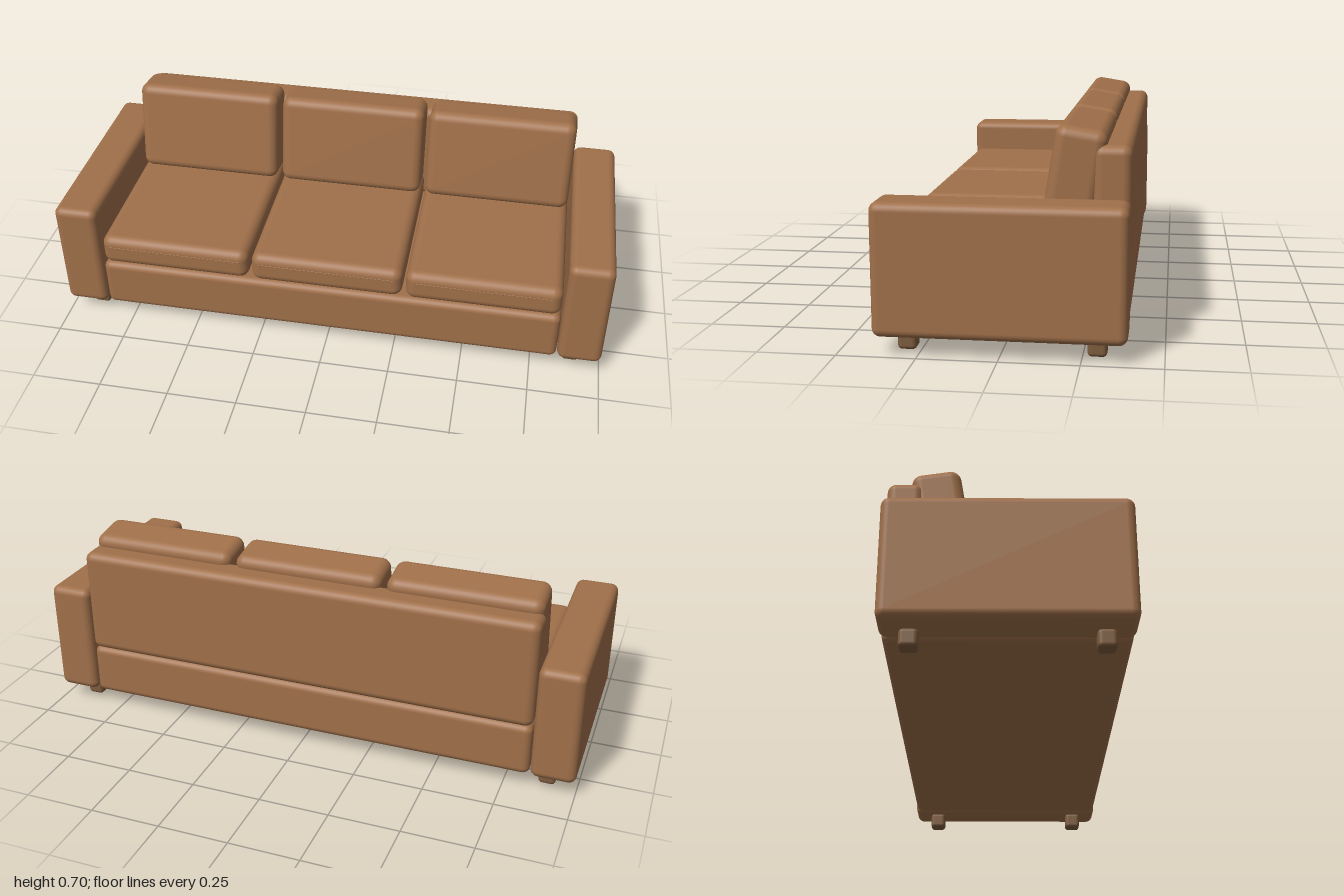
import * as THREE from 'three';
import { RoundedBoxGeometry } from 'three/addons/geometries/RoundedBoxGeometry.js';

export function createModel() {
  const sofa = new THREE.Group();
  sofa.name = 'sofa';
  const leather = new THREE.MeshStandardMaterial({ color: 0xa0704a });
  const wood = new THREE.MeshStandardMaterial({ color: 0x7d5c3e });

  // Soft-edged box given by its size and centre
  function block(name, [w, h, d], [x, y, z], radius, material = leather) {
    const mesh = new THREE.Mesh(new RoundedBoxGeometry(w, h, d, 5, radius), material);
    mesh.name = name;
    mesh.position.set(x, y, z);
    sofa.add(mesh);
    return mesh;
  }

  // Frame: base and back panel
  block('base', [1.68, 0.19, 0.77], [0, 0.155, 0], 0.025);
  block('backPanel', [1.68, 0.39, 0.12], [0, 0.442, -0.33], 0.03);

  // Arms, each with a front and a back foot
  for (const side of [-1, 1]) {
    const label = side > 0 ? 'left' : 'right';
    block(label + 'Arm', [0.157, 0.42, 0.78], [side * 0.9215, 0.268, 0], 0.028);
    for (const end of [-1, 1]) {
      block(label + (end > 0 ? 'Front' : 'Back') + 'Foot',
        [0.06, 0.062, 0.06], [side * 0.895, 0.031, end * 0.295], 0.014, wood);
    }
  }

  // Three seat cushions with reclined back cushions
  ['right', 'middle', 'left'].forEach((label, i) => {
    const x = (i - 1) * 0.562;
    block(label + 'SeatCushion', [0.55, 0.115, 0.66], [x, 0.306, 0.053], 0.035);
    // seam along the front of the seat cushion
    block(label + 'SeatSeam', [0.49, 0.004, 0.004], [x, 0.326, 0.382], 0.0015);
    const back = block(label + 'BackCushion', [0.543, 0.345, 0.163], [x, 0.517, -0.21], 0.035);
    back.rotation.x = -0.16;
  });

  return sofa;
}
